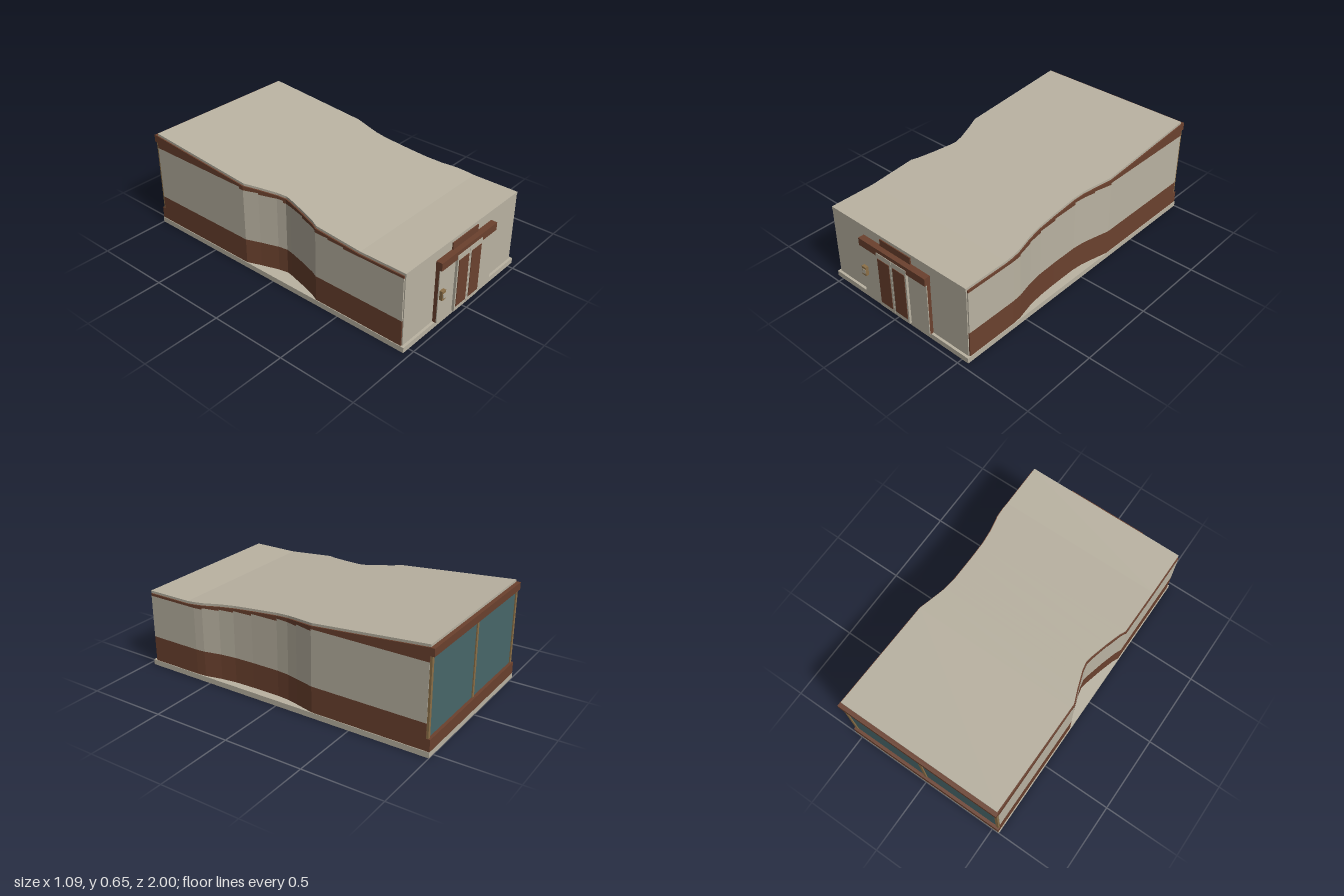
import * as THREE from 'three';

const mat = (name, color) => Object.assign(new THREE.MeshStandardMaterial({ color }), { name });

// Plan outline of the side walls: [z, x], front to back
const RIGHT = [[0.95, 0.543], [0.6, 0.543], [0.54, 0.538], [0.43, 0.513], [0.33, 0.5], [0.2, 0.495],
  [0.02, 0.493], [-0.06, 0.5], [-0.13, 0.515], [-0.25, 0.543], [-1, 0.543]];
const LEFT = [[0.95, -0.543], [0.34, -0.543], [0.3, -0.525], [0.2, -0.495], [0.08, -0.465], [0.04, -0.458],
  [-0.02, -0.47], [-0.06, -0.484], [-0.13, -0.508], [-0.22, -0.543], [-1, -0.543]];
const Z = [0.943, 0.65, 0.6, 0.54, 0.43, 0.34, 0.33, 0.3, 0.2, 0.08, 0.04, 0.02, -0.02, -0.06, -0.13, -0.22, -0.25, -0.975];

// Stepped top of the pale wall: [starts at z, height]
const STEPS = [[0.95, 0.475], [0.54, 0.485], [0.43, 0.493], [0.33, 0.503], [0.2, 0.515], [0.02, 0.53], [-0.13, 0.54], [-0.25, 0.552]];

function along(table, z) {
  for (let i = 1; i < table.length; i++) {
    const [z0, x0] = table[i - 1], [z1, x1] = table[i];
    if (z >= z1) return x0 + (x1 - x0) * (z0 - z) / (z0 - z1);
  }
  return table[table.length - 1][1];
}
const roofY = z => 0.505 + Math.max(0, 0.65 - z) * 0.145 / 1.63;
const wallTop = z => STEPS.filter(s => z < s[0]).pop()[1];

// Solid through rectangular sections, front to back; heights may jump at each station
function loft(bottom, top, inset = 0) {
  const sections = [];
  const add = (z, mid) => {
    const l = along(LEFT, z) + inset, r = along(RIGHT, z) - inset;
    const b = bottom(z, mid), t = top(z, mid);
    sections.push([[l, b, z], [r, b, z], [r, t, z], [l, t, z]]);
  };
  for (let i = 1; i < Z.length; i++) {
    const mid = (Z[i - 1] + Z[i]) / 2;
    add(Z[i - 1], mid);
    add(Z[i], mid);
  }
  const pos = [];
  const quad = (a, b, c, d) => pos.push(...a, ...b, ...c, ...a, ...c, ...d);
  for (let i = 1; i < sections.length; i++) {
    const s = sections[i - 1], e = sections[i];
    for (let k = 0; k < 4; k++) quad(s[k], e[k], e[(k + 1) % 4], s[(k + 1) % 4]);
  }
  quad(...sections[0]);
  quad(...sections[sections.length - 1].reverse());
  const g = new THREE.BufferGeometry();
  g.setAttribute('position', new THREE.Float32BufferAttribute(pos, 3));
  g.computeVertexNormals();
  return g;
}

export function createModel() {
  const root = new THREE.Group();
  root.name = 'building';
  const cream = mat('cream plaster', 0xbab3a2);
  const brown = mat('brown cladding', 0x6b412e);
  const glass = mat('teal glass', 0x48676a);
  const tan = mat('tan trim', 0x8c7048);

  const add = (name, geometry, material, parent = root) => {
    const m = new THREE.Mesh(geometry, material);
    m.name = name;
    parent.add(m);
    return m;
  };
  // Box given by its limits on each axis
  const box = (name, material, x0, x1, y0, y1, z0, z1, parent) => {
    const m = add(name, new THREE.BoxGeometry(x1 - x0, y1 - y0, z1 - z0), material, parent);
    m.position.set((x0 + x1) / 2, (y0 + y1) / 2, (z0 + z1) / 2);
    return m;
  };

  // Shell: base, banded walls that curve inward, fascia and sloping roof
  box('baseSlab', cream, -0.547, 0.547, 0, 0.035, -1, 0.965);
  add('lowerWall', loft(() => 0.035, () => 0.2), brown);
  add('upperWall', loft(() => 0.2, (z, mid) => wallTop(mid)), cream);
  add('fascia', loft((z, mid) => wallTop(mid), z => roofY(z) - 0.015), brown);
  add('roof', loft(z => roofY(z) - 0.015, roofY, 0.008), cream);
  box('frontWall', cream, -0.535, 0.535, 0.035, 0.485, 0.94, 0.949);
  box('roofFrontEdge', cream, -0.535, 0.535, 0.485, 0.505, 0.94, 0.951);

  // Entrance
  const entrance = new THREE.Group();
  entrance.name = 'entrance';
  root.add(entrance);
  box('porch', brown, -0.265, 0.265, 0.035, 0.39, 0.945, 0.972, entrance);
  box('porchFace', cream, -0.265, 0.265, 0.035, 0.39, 0.972, 0.977, entrance);
  box('canopy', brown, -0.267, 0.267, 0.39, 0.44, 0.945, 0.989, entrance);
  box('doorHeader', brown, -0.122, 0.122, 0.44, 0.485, 0.945, 0.957, entrance);
  for (const s of [-1, 1]) {
    const side = s < 0 ? 'right' : 'left';
    const span = (a, b) => (s > 0 ? [a, b] : [-b, -a]);
    box(side + 'Door', cream, ...span(0.001, 0.12), 0.037, 0.415, 0.97, 0.992, entrance);
    box(side + 'DoorPanel', brown, ...span(0.014, 0.109), 0.067, 0.38, 0.99, 0.995, entrance);
  }
  box('intercom', tan, -0.256, -0.223, 0.192, 0.252, 0.975, 0.997, entrance);
  box('intercomScreen', cream, -0.25, -0.227, 0.205, 0.236, 0.995, 1, entrance);

  // Glazed back wall
  const back = new THREE.Group();
  back.name = 'backWindow';
  root.add(back);
  box('backGlass', glass, -0.535, 0.535, 0.11, 0.59, -0.981, -0.974, back);
  box('backSill', brown, -0.543, 0.543, 0.035, 0.11, -1, -0.974, back);
  box('backLintel', brown, -0.543, 0.543, 0.588, 0.635, -1, -0.974, back);
  for (const x of [-0.53, 0, 0.53]) {
    box('mullion', tan, x - 0.01, x + 0.01, 0.11, 0.59, -0.988, -0.974, back);
  }
  return root;
}
